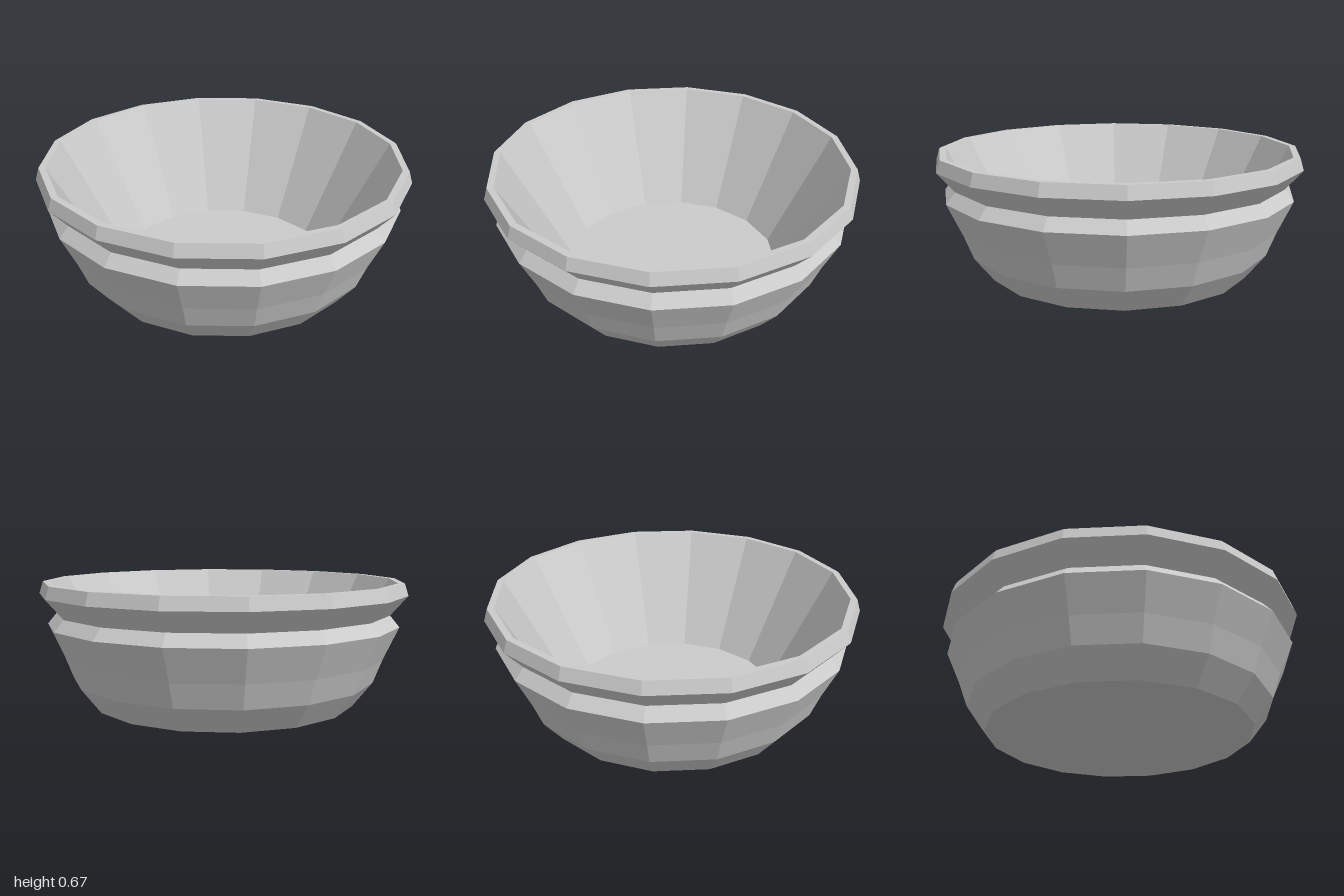
import * as THREE from 'three';

const SIDES = 16;

// Faceted ring of revolution from [radius, height] pairs
function turned(name, profile, material) {
  const points = profile.map(([r, y]) => new THREE.Vector2(r, y));
  const geometry = new THREE.LatheGeometry(points, SIDES).toNonIndexed();
  geometry.computeVertexNormals();
  const mesh = new THREE.Mesh(geometry, material);
  mesh.name = name;
  return mesh;
}

export function createModel() {
  const group = new THREE.Group();
  group.name = 'bowl';
  const material = new THREE.MeshStandardMaterial({ color: 0xcccccc, flatShading: true });

  // Flat foot and flared outer wall up to the shoulder
  group.add(turned('outerBody', [[0, 0], [0.725, 0], [0.83, 0.135], [0.88, 0.265], [0.96, 0.44]], material));

  // Groove under the rim, then the rim band and its flat lip
  group.add(turned('rim', [[0.96, 0.44], [0.91, 0.5], [1, 0.605], [0.98, 0.67], [0.945, 0.67]], material));

  // Straight inner wall down to the flat floor
  group.add(turned('innerBowl', [[0.945, 0.67], [0.6, 0.03], [0, 0.03]], material));

  return group;
}
